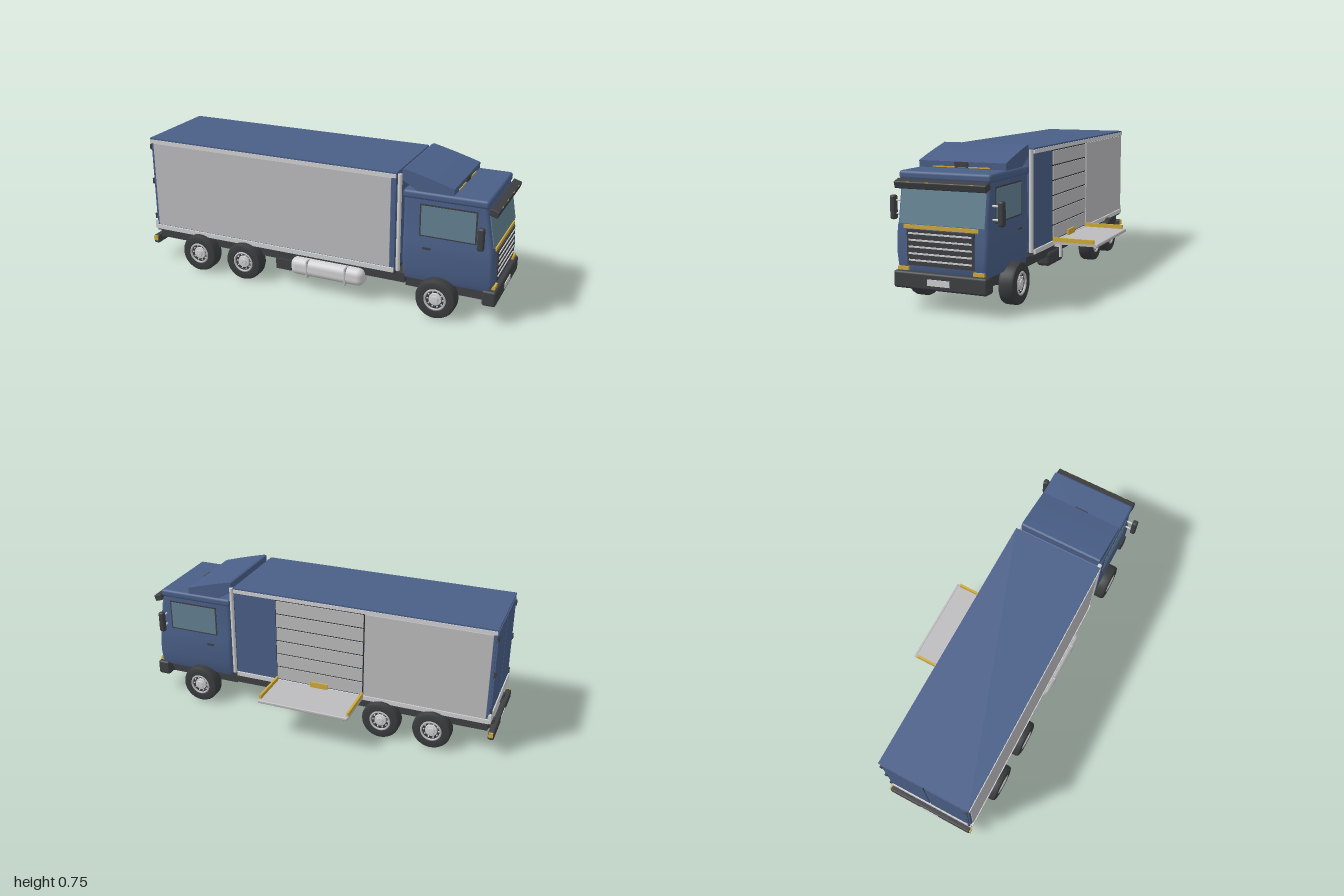
import * as THREE from 'three';
import { toCreasedNormals } from 'three/addons/utils/BufferGeometryUtils.js';
import { RoundedBoxGeometry } from 'three/addons/geometries/RoundedBoxGeometry.js';

const mat = (name, color) => Object.assign(new THREE.MeshStandardMaterial({ color }), { name });

export function createModel() {
  const blue = mat('blue paint', 0x4a5f88), grey = mat('panel grey', 0xbcbcbe), light = mat('light metal', 0xd2d2d4);
  const dark = mat('dark trim', 0x3e4043), rubber = mat('rubber', 0x3a3c3e), amber = mat('amber', 0xcfab3c);
  const glass = mat('glass', 0x648292), seam = mat('seam', 0x25282c);

  const model = new THREE.Group();
  model.name = 'deliveryTruck';
  const truck = new THREE.Group();      // z = 0 is the truck's own centre line
  truck.name = 'truck';
  truck.position.z = 0.1;
  model.add(truck);

  const add = (name, geo, m, parent = truck) => {
    const mesh = new THREE.Mesh(geo, m);
    mesh.name = name;
    parent.add(mesh);
    return mesh;
  };
  // Box from its limits; r rounds the edges
  const box = (name, m, x0, x1, y0, y1, z0, z1, r = 0) => {
    const s = [x1 - x0, y1 - y0, z1 - z0];
    const mesh = add(name, r ? new RoundedBoxGeometry(...s, 3, r) : new THREE.BoxGeometry(...s), m);
    mesh.position.set((x0 + x1) / 2, (y0 + y1) / 2, (z0 + z1) / 2);
    return mesh;
  };
  const pair = (name, m, x0, x1, y0, y1, z0, z1, r) => {
    box(name + 'Left', m, x0, x1, y0, y1, -z1, -z0, r);
    box(name + 'Right', m, x0, x1, y0, y1, z0, z1, r);
  };
  const rod = (name, m, r, x, y, z, len, axis = 'y', sides = 16) => {
    const g = new THREE.CylinderGeometry(r, r, len, sides);
    if (axis === 'x') g.rotateZ(Math.PI / 2);
    if (axis === 'z') g.rotateX(Math.PI / 2);
    const mesh = add(name, g, m);
    mesh.position.set(x, y, z);
    return mesh;
  };

  // Chassis and underbody
  box('chassis', dark, -0.96, 0.95, 0.135, 0.19, -0.195, 0.195);
  pair('sideRail', dark, -0.96, 0.52, 0.14, 0.19, 0.19, 0.225);
  box('bodyFloor', dark, -0.965, 0.47, 0.187, 0.206, -0.245, 0.245);
  box('cabFloor', dark, 0.51, 0.95, 0.105, 0.18, -0.18, 0.18);
  for (const x of [-0.675, -0.393, 0.7]) rod('axle', dark, 0.02, x, 0.105, 0, 0.46, 'z');

  // Cargo body
  box('cargoBody', blue, -0.965, 0.468, 0.206, 0.728, -0.245, 0.245);
  box('cargoRoof', blue, -0.97, 0.472, 0.722, 0.733, -0.25, 0.25);
  pair('topRail', light, -0.968, 0.468, 0.705, 0.725, 0.24, 0.254);
  pair('bottomRail', light, -0.968, 0.468, 0.198, 0.222, 0.24, 0.254);
  box('leftSidePanel', grey, -0.95, 0.443, 0.226, 0.702, 0.24, 0.25);
  box('slidingPanel', grey, -0.95, -0.287, 0.226, 0.702, -0.254, -0.24);

  // Roller shutter
  box('shutterBacking', seam, -0.283, 0.223, 0.224, 0.702, -0.247, -0.24);
  const slats = 6, slatH = 0.476 / slats;
  for (let i = 0; i < slats; i++) {
    const y = 0.225 + i * slatH;
    box('shutterSlat', grey, -0.278, 0.218, y + 0.004, y + slatH - 0.003, -0.252, -0.24);
  }
  // Fold-out loading platform
  box('platform', grey, -0.285, 0.225, 0.206, 0.219, -0.492, -0.25);
  box('platformLip', grey, -0.285, 0.225, 0.203, 0.221, -0.5, -0.486, 0.006);
  for (const x of [-0.285, 0.213]) box('platformEdge', amber, x, x + 0.012, 0.219, 0.241, -0.478, -0.25);
  box('platformLatch', amber, -0.08, 0.02, 0.219, 0.25, -0.262, -0.252);
  for (const x of [-0.24, 0.18]) {
    rod('platformLeg', light, 0.008, x, 0.168, -0.277, 0.076);
    box('platformBracket', light, x - 0.008, x + 0.008, 0.185, 0.206, -0.28, -0.22);
  }

  // Rear doors, sill and bumper
  for (const s of [-1, 1]) {
    box('rearDoor', blue, -0.972, -0.96, 0.25, 0.715, s * 0.12 - 0.116, s * 0.12 + 0.116);
    for (const y of [0.27, 0.48, 0.68]) box('doorHinge', dark, -0.978, -0.968, y - 0.015, y + 0.015, s * 0.238 - 0.006, s * 0.238 + 0.006);
    box('rearLamp', amber, -0.996, -0.972, 0.118, 0.145, s * 0.238 - 0.014, s * 0.238 + 0.014);
  }
  box('doorSeam', seam, -0.968, -0.96, 0.25, 0.715, -0.004, 0.004);
  box('rearSill', light, -0.977, -0.96, 0.198, 0.246, -0.25, 0.25);
  box('rearBumper', dark, -1, -0.968, 0.1, 0.148, -0.246, 0.246, 0.008);
  box('rearPlate', light, -1.003, -0.998, 0.11, 0.138, -0.055, 0.055);
  pair('bumperMount', dark, -0.98, -0.93, 0.12, 0.17, 0.12, 0.16);

  // Stack pipes behind the cab
  for (const s of [-1, 1]) {
    rod('stackPipe', light, 0.011, 0.487, 0.468, s * 0.24, 0.516);
    for (const y of [0.24, 0.47, 0.7]) box('pipeBracket', dark, 0.465, 0.49, y - 0.006, y + 0.006, s * 0.235 - 0.006, s * 0.235 + 0.006);
  }

  // Side tanks and boxes
  box('fuelTank', light, -0.115, 0.305, 0.08, 0.175, 0.17, 0.27, 0.035);
  for (const x of [-0.02, 0.2]) box('tankStrap', grey, x, x + 0.012, 0.077, 0.178, 0.18, 0.272, 0.005);
  box('batteryBox', dark, -0.21, -0.118, 0.088, 0.145, 0.17, 0.24);
  box('toolBox', dark, 0.04, 0.24, 0.085, 0.16, -0.24, -0.16, 0.02);

  // Cab shell: rounded rectangles stacked by height [y, back x, front x, half width]
  const rings = [[0.175, 0.51, 0.968, 0.226], [0.2, 0.507, 0.974, 0.233], [0.26, 0.505, 0.976, 0.239], [0.33, 0.505, 0.972, 0.241],
    [0.39, 0.505, 0.967, 0.24], [0.415, 0.505, 0.964, 0.235], [0.61, 0.505, 0.931, 0.234]];
  const loop = ([y, x0, x1, w]) => {
    const pts = [], r = 0.022;
    [[x1, w, 0], [x0, w, 1], [x0, -w, 2], [x1, -w, 3]].forEach(([x, z, q]) => {
      for (let i = 0; i <= 4; i++) {
        const a = (q + i / 4) * Math.PI / 2;
        pts.push([x - Math.sign(x - 0.7) * r + r * Math.cos(a), y, z - Math.sign(z) * r + r * Math.sin(a)]);
      }
    });
    return pts;
  };
  const pos = [], idx = [], n = 20;
  rings.forEach(r => loop(r).forEach(p => pos.push(...p)));
  for (let k = 0; k < rings.length - 1; k++) for (let i = 0; i < n; i++) {
    const a = k * n + i, b = k * n + (i + 1) % n;
    idx.push(a, a + n, b, b, a + n, b + n);
  }
  const top = (rings.length - 1) * n;
  for (let i = 1; i < n - 1; i++) idx.push(0, i, i + 1, top, top + i + 1, top + i);
  const shell = new THREE.BufferGeometry();
  shell.setAttribute('position', new THREE.Float32BufferAttribute(pos, 3));
  shell.setIndex(idx);
  add('cabShell', toCreasedNormals(shell, 0.6), blue);

  box('cabRoof', blue, 0.502, 0.935, 0.607, 0.65, -0.24, 0.24, 0.015);
  // Roof air deflector
  const prof = new THREE.Shape();
  prof.moveTo(0.495, 0.695);
  prof.lineTo(0.575, 0.647);
  prof.lineTo(0.76, 0.647);
  prof.lineTo(0.76, 0.682);
  prof.quadraticCurveTo(0.64, 0.72, 0.505, 0.752);
  prof.lineTo(0.495, 0.748);
  const defl = new THREE.ExtrudeGeometry(prof, { depth: 0.462, bevelEnabled: false, curveSegments: 8 });
  defl.translate(0, 0, -0.231);
  add('airDeflector', toCreasedNormals(defl, 0.5), blue);
  box('deflectorLightStrip', amber, 0.758, 0.764, 0.653, 0.659, -0.15, 0.155);
  box('deflectorLamp', dark, 0.745, 0.767, 0.655, 0.681, -0.035, 0.036);

  // Windscreen and sun visor
  const screen = box('windscreen', glass, 0.946, 0.954, 0.405, 0.575, -0.22, 0.22);
  screen.rotation.z = 0.168;
  const visor = box('sunVisor', dark, 0.935, 0.982, 0.575, 0.611, -0.238, 0.238, 0.006);
  visor.rotation.z = -0.3;
  for (const z of [-0.163, -0.063, 0.065, 0.165]) box('visorLamp', amber, 0.967, 0.984, 0.598, 0.605, z - 0.011, z + 0.011);

  // Grille and lamps
  box('gripBar', amber, 0.955, 0.974, 0.386, 0.404, -0.19, 0.195);
  box('grille', dark, 0.96, 0.98, 0.215, 0.382, -0.172, 0.175);
  for (let i = 0; i < 5; i++) box('grilleBar', light, 0.977, 0.984, 0.236 + i * 0.0315, 0.244 + i * 0.0315, -0.162, 0.165);
  pair('headlamp', amber, 0.955, 0.985, 0.19, 0.207, 0.168, 0.224);
  box('frontBumper', dark, 0.925, 0.996, 0.105, 0.187, -0.243, 0.243, 0.012);
  box('frontPlate', light, 0.994, 1, 0.129, 0.159, -0.055, 0.06);

  // Doors: side glass, handles, mirrors
  for (const s of [-1, 1]) {
    box('windowFrame', dark, 0.592, 0.883, 0.418, 0.588, s * 0.234 - 0.002, s * 0.234 + 0.002);
    box('sideWindow', glass, 0.6, 0.875, 0.425, 0.58, s * 0.235 - 0.003, s * 0.235 + 0.003);
    box('doorHandle', dark, 0.615, 0.655, 0.353, 0.363, s * 0.242 - 0.005, s * 0.242 + 0.005);
    box('mirror', dark, 0.898, 0.932, 0.413, 0.53, s * 0.282 - 0.015, s * 0.282 + 0.015, 0.011);
    for (const y of [0.442, 0.505]) rod('mirrorArm', light, 0.005, 0.913, y, s * 0.25, 0.05, 'z', 8);
  }

  // Wheels, axis along z with the outer face on +z
  const lathe = pts => new THREE.LatheGeometry(pts.map(p => new THREE.Vector2(...p)), 40).rotateX(Math.PI / 2);
  const tyreGeo = toCreasedNormals(lathe([[0.001, -0.04], [0.085, -0.042], [0.1, -0.037], [0.105, -0.025], [0.105, 0.025],
    [0.1, 0.037], [0.085, 0.042], [0.06, 0.04], [0.056, 0.025], [0.001, 0.025]]), 0.7);
  const hubGeo = toCreasedNormals(lathe([[0.034, 0.024], [0.032, 0.034], [0.02, 0.036], [0.018, 0.041], [0.001, 0.042]]), 0.5);
  const rimGeo = new THREE.TorusGeometry(0.053, 0.006, 8, 40);
  const boltGeo = new THREE.CylinderGeometry(0.004, 0.004, 0.008, 6).rotateX(Math.PI / 2);
  for (const x of [-0.675, -0.393, 0.7]) for (const s of [-1, 1]) {
    const wheel = new THREE.Group();
    wheel.name = 'wheel';
    wheel.position.set(x, 0.105, s * 0.243);
    if (s < 0) wheel.rotation.y = Math.PI;
    add('tyre', tyreGeo, rubber, wheel);
    add('hub', hubGeo, light, wheel);
    add('rim', rimGeo, grey, wheel).position.z = 0.036;
    for (let i = 0; i < 10; i++) {
      const a = i * Math.PI / 5;
      add('bolt', boltGeo, light, wheel).position.set(0.041 * Math.cos(a), 0.041 * Math.sin(a), 0.028);
    }
    truck.add(wheel);
  }
  return model;
}
